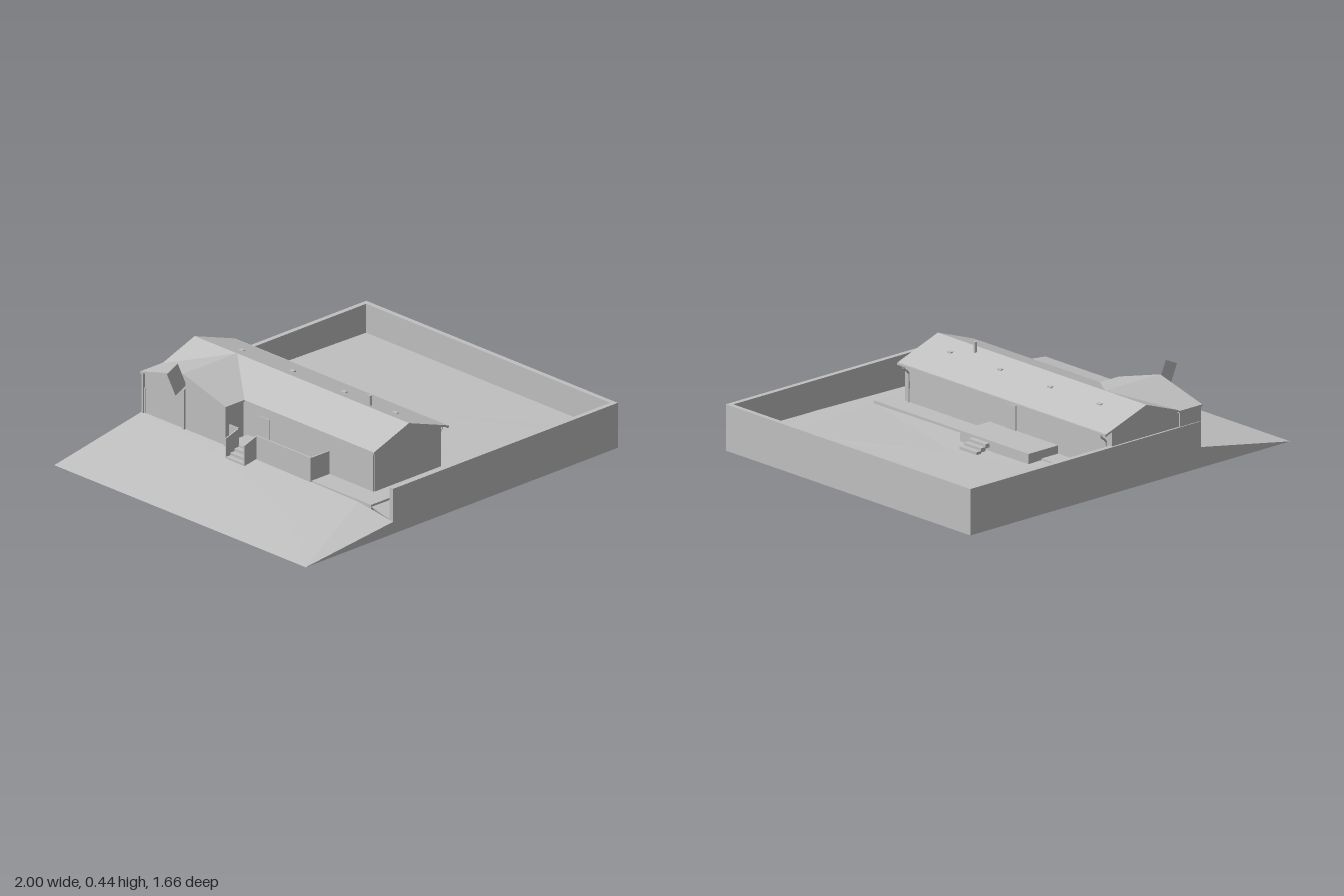
import * as THREE from 'three';

const stone = new THREE.MeshStandardMaterial({ color: 0xc0c0c0, side: THREE.DoubleSide, flatShading: true });
stone.name = 'plain grey';

export function createModel() {
  const model = new THREE.Group();
  model.name = 'walledHouse';

  const add = (name, geo, parent = model) => {
    const mesh = new THREE.Mesh(geo, stone);
    mesh.name = name;
    parent.add(mesh);
    return mesh;
  };
  // Box given by its limits on each axis
  const box = (name, x0, x1, y0, y1, z0, z1, parent) => {
    const geo = new THREE.BoxGeometry(x1 - x0, y1 - y0, z1 - z0);
    geo.translate((x0 + x1) / 2, (y0 + y1) / 2, (z0 + z1) / 2);
    return add(name, geo, parent);
  };
  const shapeOf = pts => new THREE.Shape(pts.map(p => new THREE.Vector2(...p)));
  const extrude = (pts, depth) => new THREE.ExtrudeGeometry(shapeOf(pts), { depth, bevelEnabled: false });
  // Flat faces from loops of corners
  const faces = loops => {
    const pos = [];
    for (const l of loops)
      for (let i = 1; i < l.length - 1; i++) pos.push(...l[0], ...l[i], ...l[i + 1]);
    const geo = new THREE.BufferGeometry();
    geo.setAttribute('position', new THREE.Float32BufferAttribute(pos, 3));
    geo.computeVertexNormals();
    return geo;
  };

  // Ground: a slope on the left, a nearly level yard around the slab
  add('groundSlope', faces([
    [[-1, 0, 0.83], [-0.44, 0.06, 0.83], [-0.44, 0.09, 0.6], [-0.8, 0.035, 0.55]],
    [[-1, 0, 0.83], [-0.8, 0.035, 0.55], [-1, 0, -0.3]],
    [[-0.8, 0.035, 0.55], [-0.44, 0.09, 0.6], [-0.52, 0.088, -0.2], [-1, 0, -0.3]],
    [[-0.44, 0.09, 0.6], [-0.44, 0.1, -0.25], [-0.52, 0.088, -0.2]],
    [[-0.52, 0.088, -0.2], [-0.44, 0.1, -0.25], [-0.44, 0.1, -0.83], [-1, 0, -0.3]],
    [[-1, 0, -0.3], [-0.44, 0.1, -0.83], [-1, 0, -0.83]],
  ]));
  add('yard', faces([
    [[-0.44, 0.06, 0.83], [0.5, 0.075, 0.83], [0.21, 0.085, 0.685], [-0.44, 0.09, 0.685]],
    [[0.5, 0.075, 0.83], [1, 0.08, 0.83], [0.8, 0.085, 0.65], [0.21, 0.085, 0.685]],
    [[1, 0.08, 0.83], [1, 0.08, -0.83], [0.42, 0.085, -0.1], [0.8, 0.085, 0.65]],
    [[0.8, 0.085, 0.65], [0.42, 0.085, -0.1], [0.21, 0.085, 0.685]],
    [[0.21, 0.085, 0.685], [0.42, 0.085, -0.1], [0.21, 0.095, -0.83]],
    [[0.42, 0.085, -0.1], [1, 0.08, -0.83], [0.21, 0.095, -0.83]],
  ]));

  // Boundary walls, with wedges that close the slope
  const wallSide = (name, low, z) =>
    add(name, extrude([[-1, 0], [1, 0], [1, 0.225], [-0.44, 0.225], [-0.44, low]], 0.025)).position.z = z;
  wallSide('frontWall', 0.06, 0.805);
  wallSide('backWall', 0.1, -0.83);
  box('sideWall', 0.975, 1, 0, 0.225, -0.81, 0.81);

  // Foundation slab, open beneath the rooms
  const slab = shapeOf([[-0.44, -0.82], [0.21, -0.82], [0.21, 0.685], [-0.44, 0.685]]);
  slab.holes.push(shapeOf([[-0.32, -0.81], [0.1, -0.81], [0.1, 0.575], [-0.32, 0.575]]));
  const slabGeo = new THREE.ExtrudeGeometry(slab, { depth: 0.03, bevelEnabled: false });
  slabGeo.rotateX(Math.PI / 2);
  add('foundationSlab', slabGeo).position.y = 0.1;

  // Main house
  const house = new THREE.Group();
  house.name = 'house';
  model.add(house);
  const gable = [[-0.32, 0.1], [0.105, 0.1], [0.105, 0.298], [-0.105, 0.37], [-0.32, 0.296]];
  for (const z of [-0.82, 0.575]) add('gableWall', extrude(gable, 0.01), house).position.z = z;
  box('rightLongWall', 0.095, 0.105, 0.1, 0.298, -0.82, 0.58, house);
  box('leftLongWall', -0.325, -0.315, 0.1, 0.296, -0.82, 0.58, house);
  box('leftDoor', -0.33, -0.324, 0.13, 0.25, -0.17, -0.1, house);
  box('rightDoor', 0.104, 0.11, 0.14, 0.26, -0.17, -0.1, house);

  // Main roof
  const roof = [[-0.33, 0.3], [-0.105, 0.38], [0.145, 0.294], [0.145, 0.284], [-0.105, 0.37], [-0.33, 0.29]];
  add('mainRoof', extrude(roof, 1.415), house).position.z = -0.825;
  box('rightGutter', 0.14, 0.15, 0.282, 0.293, -0.825, 0.59, house);

  // Left wing with a gable facing -x
  const wing = new THREE.Group();
  wing.name = 'wing';
  model.add(wing);
  const wingGable = extrude([[-0.82, 0.08], [-0.28, 0.08], [-0.28, 0.3], [-0.545, 0.37], [-0.82, 0.3]], 0.01);
  wingGable.rotateY(-Math.PI / 2);
  add('wingGableWall', wingGable, wing).position.x = -0.425;
  for (const z of [-0.825, -0.285]) box('wingSideWall', -0.435, -0.315, 0.09, 0.3, z, z + 0.01, wing);
  const slopes = drop => [
    [[-0.45, 0.305, -0.83], [-0.305, 0.305, -0.83], [-0.105, 0.38, -0.545], [-0.45, 0.38, -0.545]],
    [[-0.45, 0.38, -0.545], [-0.105, 0.38, -0.545], [-0.33, 0.3, -0.265], [-0.45, 0.3, -0.265]],
  ].map(l => l.map(([x, y, z]) => [x, y - drop, z]));
  const edge = (a, b) => [a, b, [b[0], b[1] - 0.01, b[2]], [a[0], a[1] - 0.01, a[2]]];
  const [back, front] = slopes(0);
  add('wingRoof', faces([back, front, ...slopes(0.01),
    edge(back[0], back[1]), edge(back[3], back[0]), edge(front[3], front[0]), edge(front[2], front[3])]), wing);
  for (const z of [-0.82, -0.55, -0.275]) box('wingPost', -0.446, -0.434, 0.08, 0.3, z - 0.006, z + 0.006, wing);

  // Tilted sign plate on the wing gable
  add('signPlate', faces([[[-0.555, 0.41, -0.545], [-0.485, 0.442, -0.545],
    [-0.43, 0.318, -0.545], [-0.5, 0.286, -0.545]]]), wing);

  // Chimney and roof vents
  const pipe = new THREE.CylinderGeometry(0.007, 0.007, 0.07, 8);
  add('chimney', pipe, house).position.set(-0.067, 0.38, 0.295);
  const cap = new THREE.CylinderGeometry(0.009, 0.009, 0.012, 8);
  add('chimneyCap', cap, house).position.set(-0.067, 0.412, 0.295);
  for (const z of [-0.605, -0.27, 0.07, 0.41]) box('roofVent', -0.027, -0.008, 0.338, 0.354, z - 0.013, z + 0.013, house);

  // Downpipes under the right eave
  for (const z of [0.555, -0.785]) {
    const path = new THREE.CatmullRomCurve3([[0.143, 0.285], [0.14, 0.27], [0.112, 0.245], [0.11, 0.22], [0.11, 0.1]]
      .map(([x, y]) => new THREE.Vector3(x, y, z)));
    add('downpipe', new THREE.TubeGeometry(path, 14, 0.005, 6), house);
  }

  // Decks and steps on both sides
  box('rightDeck', 0.1, 0.29, 0.075, 0.14, -0.455, 0.01);
  box('leftDeck', -0.44, -0.325, 0.075, 0.13, -0.25, 0.29);
  const stairs = (name, x, side, top) => {
    const group = new THREE.Group();
    group.name = name;
    model.add(group);
    for (let i = 0; i < 3; i++) {
      const a = x + side * i * 0.027, b = a + side * 0.027, y = top - (i + 1) * 0.013;
      box('step', Math.min(a, b), Math.max(a, b), y - 0.02, y, -0.19, -0.075, group);
    }
    return group;
  };
  stairs('rightSteps', 0.29, 1, 0.14);
  const leftSteps = stairs('leftSteps', -0.44, -1, 0.135);
  for (const z of [-0.195, -0.075])
    add('stepCheek', extrude([[-0.52, 0.085], [-0.44, 0.1], [-0.44, 0.213], [-0.52, 0.187]], 0.006), leftSteps).position.z = z;

  // Parapet around the left deck, open at the steps
  box('parapet', -0.444, -0.436, 0.09, 0.215, -0.25, -0.19);
  box('parapet', -0.444, -0.436, 0.09, 0.215, -0.075, 0.29);
  box('parapetEnd', -0.44, -0.325, 0.09, 0.215, 0.284, 0.292);

  return model;
}
